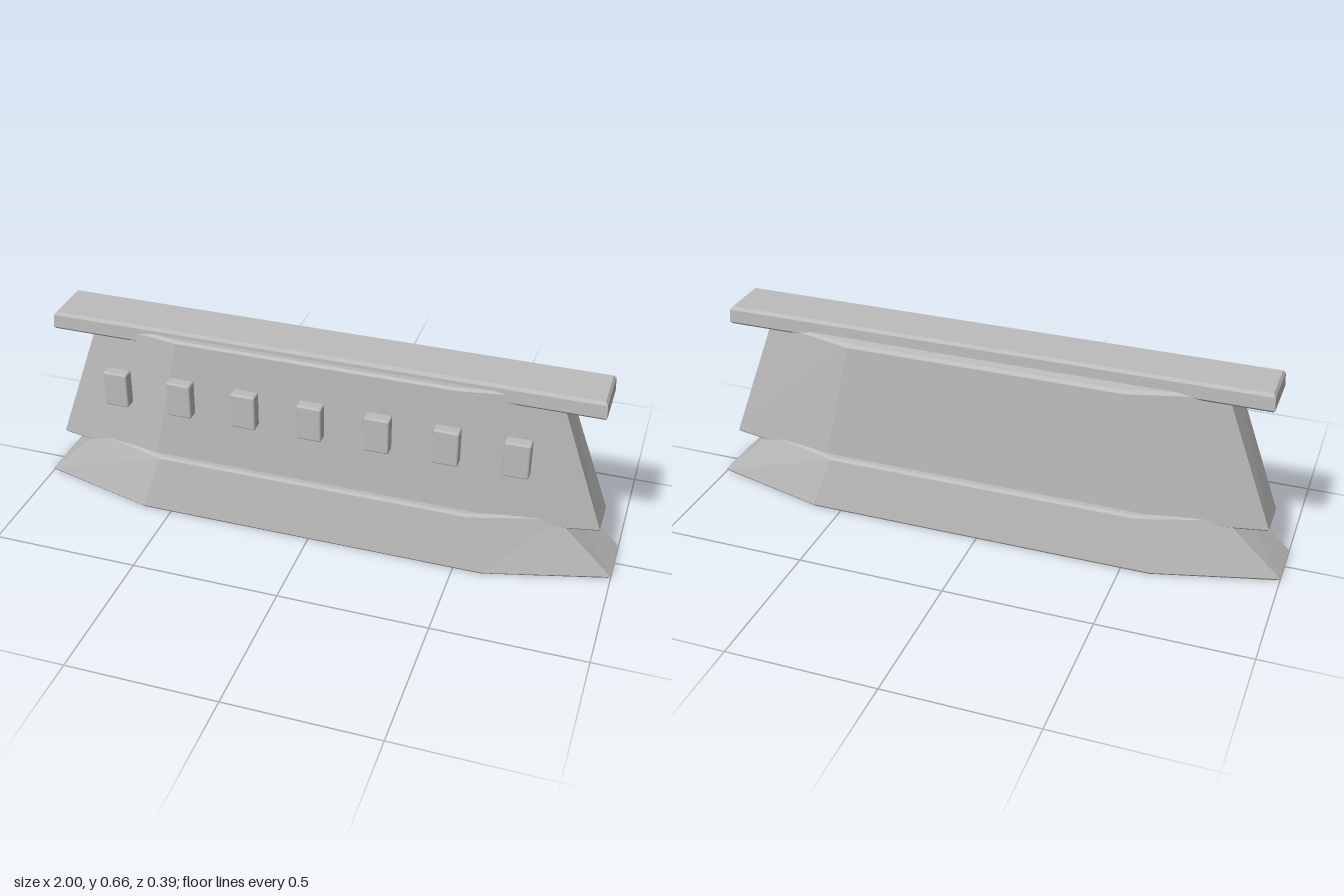
import * as THREE from 'three';
import { RoundedBoxGeometry } from 'three/addons/geometries/RoundedBoxGeometry.js';

const grey = new THREE.MeshStandardMaterial({ color: 0xbcbcbc });
grey.name = 'plain grey';

// Long eight-sided outline: x = half length, bx = where the corners start, z = half width, ez = half width of the ends
function octagon(y, x, bx, z, ez, tilt = 0) {
  return [[x, ez], [x, -ez], [bx, -z], [-bx, -z], [-x, -ez], [-x, ez], [-bx, z], [bx, z]]
    .map(([px, pz]) => new THREE.Vector3(px, y + tilt * pz, pz));
}

function rectangle(y, x, z) {
  return [[x, z], [x, -z], [-x, -z], [-x, z]].map(([px, pz]) => new THREE.Vector3(px, y, pz));
}

// Joins outlines from bottom to top and caps both ends, with hard edges
function loft(rings) {
  const pos = [];
  const tri = (...points) => points.forEach((p) => pos.push(p.x, p.y, p.z));
  const n = rings[0].length;
  for (let r = 0; r < rings.length - 1; r++) {
    for (let i = 0; i < n; i++) {
      const j = (i + 1) % n;
      const a = rings[r][i], b = rings[r][j], c = rings[r + 1][j], d = rings[r + 1][i];
      tri(a, b, c);
      tri(a, c, d);
    }
  }
  const bottom = rings[0], top = rings[rings.length - 1];
  for (let i = 1; i < n - 1; i++) {
    tri(top[0], top[i], top[i + 1]);
    tri(bottom[0], bottom[i + 1], bottom[i]);
  }
  const geometry = new THREE.BufferGeometry();
  geometry.setAttribute('position', new THREE.Float32BufferAttribute(pos, 3));
  geometry.computeVertexNormals();
  return geometry;
}

export function createModel() {
  const model = new THREE.Group();
  model.name = 'longBuilding';
  const add = (name, geometry, x = 0, y = 0, z = 0) => {
    const mesh = new THREE.Mesh(geometry, grey);
    mesh.name = name;
    mesh.position.set(x, y, z);
    model.add(mesh);
  };

  // Flared base with a slightly tilted top
  add('base', loft([
    octagon(0, 0.99, 0.595, 0.188, 0.083),
    octagon(0.008, 1, 0.6, 0.194, 0.086),
    octagon(0.194, 0.81, 0.535, 0.17, 0.086, 0.04),
    octagon(0.199, 0.795, 0.525, 0.158, 0.08, 0.04),
  ]));

  // Tapered main body overhanging the ends of the base
  add('body', loft([
    octagon(0.165, 0.94, 0.56, 0.138, 0.062),
    octagon(0.171, 0.945, 0.565, 0.143, 0.066),
    octagon(0.621, 0.782, 0.47, 0.126, 0.059, 0.13),
    octagon(0.629, 0.772, 0.46, 0.116, 0.053, 0.13),
  ]));

  // Flat roof slab with bevelled edges
  add('roof', loft([
    rectangle(0.6, 0.918, 0.083),
    rectangle(0.608, 0.925, 0.09),
    rectangle(0.652, 0.922, 0.088),
    rectangle(0.662, 0.914, 0.08),
  ]), 0, 0, 0.006);

  // Row of raised window blocks along the front
  const windowGeometry = new RoundedBoxGeometry(0.084, 0.125, 0.043, 2, 0.007);
  for (let i = -3; i <= 3; i++) add('window', windowGeometry, i * 0.225, 0.452, 0.1555);

  return model;
}
